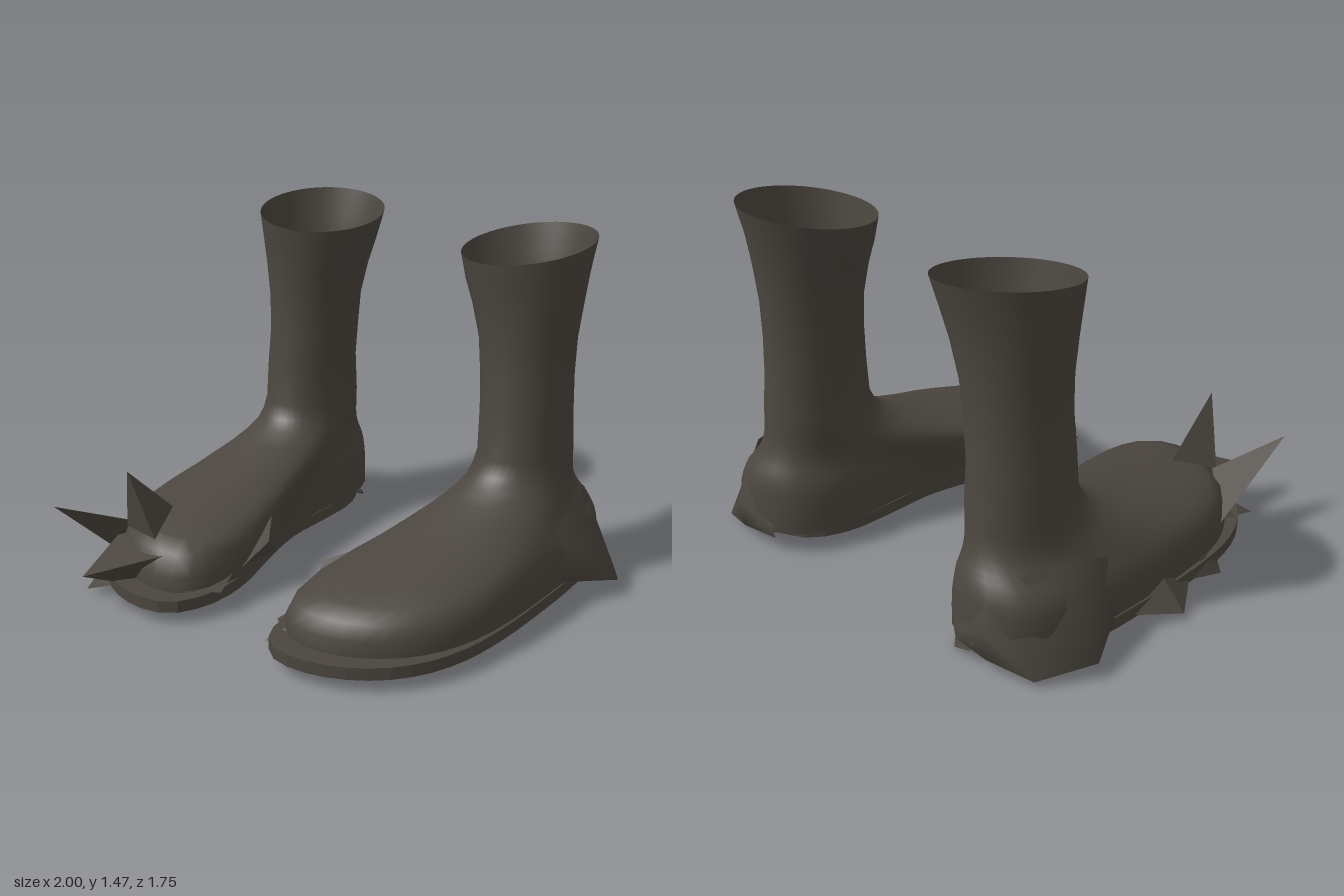
import * as THREE from 'three';

const leather = new THREE.MeshStandardMaterial({ color: 0x4b463f, side: THREE.DoubleSide });
leather.name = 'dark leather';

const SEGMENTS = 48;

// Foot outline [x, z], from the heel around the outer side to the toe and back
const outline = new THREE.CatmullRomCurve3([
  [0.60, -0.85], [0.74, -0.82], [0.83, -0.70], [0.86, -0.5], [0.875, -0.2], [0.875, 0.05],
  [0.855, 0.25], [0.80, 0.42], [0.70, 0.56], [0.55, 0.66], [0.38, 0.695], [0.26, 0.66],
  [0.195, 0.55], [0.18, 0.4], [0.205, 0.25], [0.27, 0.05], [0.335, -0.2], [0.345, -0.45],
  [0.365, -0.65], [0.45, -0.80],
].map(([x, z]) => new THREE.Vector3(x, 0, z)), true).getSpacedPoints(SEGMENTS).slice(0, SEGMENTS);

// Foot rows: [share of the way from outline to ankle, height at heel, sides, toe]
const footRows = [
  [0, 0.10, 0.10, 0.10], [0, 0.19, 0.16, 0.17], [0.04, 0.26, 0.21, 0.225],
  [0.12, 0.30, 0.25, 0.262], [0.25, 0.335, 0.288, 0.292], [0.40, 0.36, 0.32, 0.32],
  [0.55, 0.385, 0.355, 0.355], [0.70, 0.41, 0.39, 0.395], [0.83, 0.445, 0.43, 0.437],
  [0.92, 0.48, 0.47, 0.475], [0.97, 0.52, 0.52, 0.52],
];

// Shaft rings: [height, inner x, outer x, back z, front z, tilt]
const shaftRings = [
  [0.58, 0.387, 0.75, -0.765, -0.29, 0], [0.75, 0.387, 0.745, -0.75, -0.305, 0],
  [0.90, 0.375, 0.74, -0.75, -0.32, 0], [1.05, 0.36, 0.745, -0.755, -0.32, 0],
  [1.20, 0.32, 0.765, -0.775, -0.31, 0.01], [1.31, 0.285, 0.78, -0.80, -0.295, 0.025],
  [1.425, 0.258, 0.797, -0.835, -0.28, 0.036],
];

function ringPoint([y, x0, x1, zb, zf, tilt], i) {
  const a = (i / SEGMENTS) * Math.PI * 2;
  return new THREE.Vector3(
    (x0 + x1) / 2 + Math.sin(a) * (x1 - x0) / 2,
    y + tilt * (Math.cos(a) + 0.6 * Math.sin(a)),
    (zb + zf) / 2 - Math.cos(a) * (zf - zb) / 2);
}

// Join rows of points into one smooth skin, closed around or open at the ends
function loft(rows, side, closed) {
  const count = rows[0].length;
  const positions = rows.flat().flatMap(p => [p.x * side, p.y, p.z]);
  const index = [];
  for (let r = 0; r < rows.length - 1; r++) {
    for (let i = 0; i < (closed ? count : count - 1); i++) {
      const a = r * count + i, b = r * count + (i + 1) % count;
      const c = a + count, d = b + count;
      if (side > 0) index.push(a, c, b, b, c, d);
      else index.push(a, b, c, b, d, c);
    }
  }
  const geometry = new THREE.BufferGeometry();
  geometry.setAttribute('position', new THREE.Float32BufferAttribute(positions, 3));
  geometry.setIndex(index);
  geometry.computeVertexNormals();
  return geometry;
}

function addMesh(group, name, geometry) {
  const mesh = new THREE.Mesh(geometry, leather);
  mesh.name = name;
  group.add(mesh);
}

// Pointed flap: an apex over a triangular base
function spike(points) {
  const faces = [[0, 1, 2], [0, 2, 3], [0, 3, 1]];
  const geometry = new THREE.BufferGeometry();
  geometry.setAttribute('position',
    new THREE.Float32BufferAttribute(faces.flat().flatMap(i => points[i]), 3));
  geometry.computeVertexNormals();
  return geometry;
}

// Ragged flare around the outer heel: ankle line, jagged rim, sole line
const heelFlare = [
  [[0.83, 0.33, -0.34], [0.80, 0.39, -0.56], [0.76, 0.39, -0.70], [0.66, 0.36, -0.81], [0.52, 0.30, -0.80]],
  [[0.88, 0.12, -0.34], [1.0, 0.07, -0.59], [0.87, 0.03, -0.79], [0.70, 0.20, -0.875], [0.52, 0.12, -0.84]],
  [[0.86, 0.07, -0.34], [0.84, 0.07, -0.56], [0.80, 0.06, -0.72], [0.69, 0.07, -0.85], [0.52, 0.07, -0.83]],
].map(row => row.map(p => new THREE.Vector3(...p))).reverse();

// spread moves the foot outward, toeLift raises the toe box
function makeBoot(name, side, spread, toeLift, spikes) {
  const boot = new THREE.Group();
  boot.name = name;

  // Upper: foot rows close in on the ankle, then the shaft flares to an open top
  const foot = outline.map(p => new THREE.Vector3(p.x + spread, 0, p.z));
  const ankle = outline.map((_, i) => ringPoint(shaftRings[0], i));
  const rows = footRows.map(([t, yHeel, ySide, yToe], r) => foot.map((p, i) => {
    const c = Math.cos((i / SEGMENTS) * Math.PI * 2);
    const lift = r > 1 ? toeLift * (1 - t) : 0;
    const q = p.clone().lerp(ankle[i], t);
    q.y = THREE.MathUtils.lerp(ySide, c > 0 ? yHeel : yToe + lift, c * c);
    return q;
  }));
  shaftRings.forEach(ring => rows.push(outline.map((_, i) => ringPoint(ring, i))));
  addMesh(boot, 'upper', loft(rows, side, true));

  // Sole: a thin slab slightly wider than the foot
  const shape = new THREE.Shape(foot.map(p =>
    new THREE.Vector2(side * (0.54 + (p.x - 0.54) * 1.03), 0.08 - (p.z + 0.08) * 1.01)));
  const sole = new THREE.ExtrudeGeometry(shape, { depth: 0.05, bevelEnabled: false });
  sole.rotateX(-Math.PI / 2).translate(0, 0.055, 0.08);
  sole.translate(0, 0, -0.0);
  addMesh(boot, 'sole', sole);

  addMesh(boot, 'heelFlare', loft(heelFlare, side, false));

  // Ragged points around the edge
  spikes.forEach((points, i) => addMesh(boot, 'spike' + (i + 1), spike(points)));
  return boot;
}

const leftSpikes = [
  [[0.12, 0.22, 0.26], [0.27, 0.28, 0.10], [0.19, 0.12, 0.42], [0.25, 0.10, 0.10]],
  [[0.125, 0.08, 0.55], [0.20, 0.14, 0.38], [0.24, 0.11, 0.66], [0.22, 0.06, 0.5]],
  [[0.19, 0.07, 0.70], [0.17, 0.07, 0.52], [0.36, 0.07, 0.70], [0.24, 0.12, 0.62]],
];
const rightSpikes = [
  [[-0.165, 0.22, 0.26], [-0.28, 0.28, 0.10], [-0.21, 0.12, 0.42], [-0.26, 0.10, 0.10]],
  [[-0.17, 0.10, 0.55], [-0.22, 0.16, 0.38], [-0.27, 0.11, 0.66], [-0.24, 0.06, 0.5]],
  [[-0.56, 0.56, 0.66], [-0.66, 0.27, 0.58], [-0.44, 0.29, 0.64], [-0.55, 0.33, 0.42]],
  [[-0.83, 0.39, 0.82], [-0.84, 0.17, 0.37], [-0.66, 0.28, 0.55], [-0.74, 0.12, 0.55]],
  [[-0.62, 0.16, 0.875], [-0.74, 0.22, 0.52], [-0.38, 0.24, 0.66], [-0.56, 0.06, 0.66]],
  [[-0.74, 0.02, 0.75], [-0.82, 0.16, 0.42], [-0.50, 0.10, 0.68], [-0.70, 0.06, 0.55]],
  [[-1.0, 0.03, -0.08], [-0.88, 0.16, -0.08], [-0.89, 0.07, 0.10], [-0.89, 0.07, -0.28]],
  [[-0.935, 0.03, 0.25], [-0.88, 0.13, 0.18], [-0.87, 0.07, 0.30], [-0.90, 0.07, 0.05]],
  [[-0.48, 0.0, -0.80], [-0.60, 0.06, -0.84], [-0.40, 0.06, -0.70], [-0.52, 0.06, -0.65]],
];

export function createModel() {
  const model = new THREE.Group();
  model.name = 'pairOfBoots';
  model.add(makeBoot('leftBoot', 1, 0, 0, leftSpikes));
  model.add(makeBoot('rightBoot', -1, 0.02, 0.035, rightSpikes));
  return model;
}
